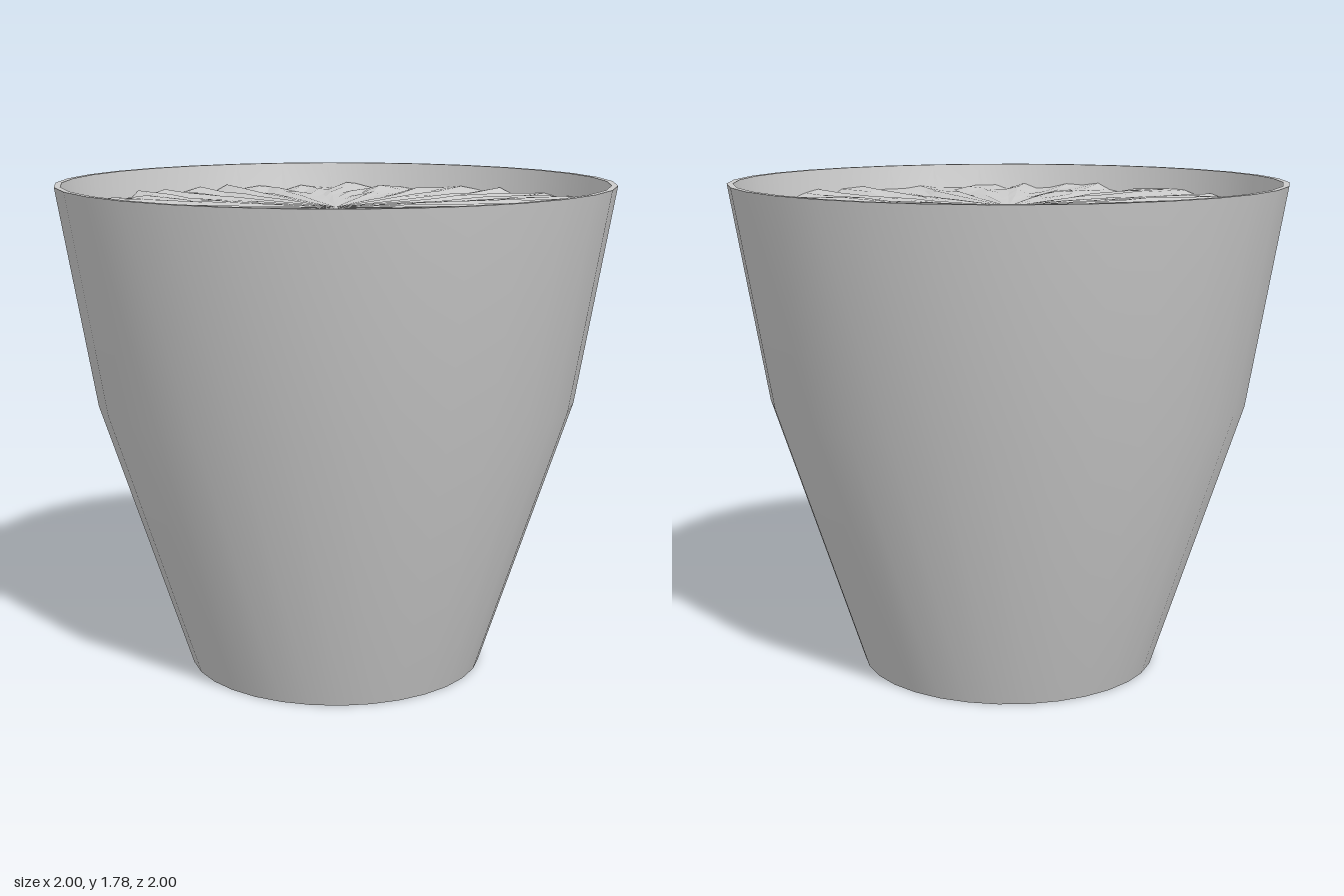
import * as THREE from 'three';
import { toCreasedNormals } from 'three/addons/utils/BufferGeometryUtils.js';

const SIDES = 32;

// Repeatable noise in -1..1
function noise(a, b) {
  const s = Math.sin(a * 127.1 + b * 311.7) * 43758.5453;
  return 2 * (s - Math.floor(s)) - 1;
}

// Hollow pot wall: outside from base to rim, then back down the inside
function createPot() {
  const profile = [
    [0, 0], [0.545, 0], [0.87, 1], [1, 1.78],
    [0.978, 1.78], [0.848, 1], [0.54, 0.04], [0, 0.04],
  ].map(([r, y]) => new THREE.Vector2(r, y));
  const geometry = toCreasedNormals(new THREE.LatheGeometry(profile, SIDES), Math.PI / 6);
  return new THREE.Mesh(geometry, new THREE.MeshStandardMaterial({ color: 0xcccccc }));
}

// Faceted earth: flat at the centre, crumpled towards the wall
function createSoil() {
  const segments = 96, rings = 6, radius = 0.955, level = 1.69;
  const geometry = new THREE.RingGeometry(0, radius, segments, rings);
  geometry.rotateX(-Math.PI / 2);
  const pos = geometry.attributes.position;
  for (let k = 0; k < pos.count; k++) {
    const ring = Math.floor(k / (segments + 1));
    const i = (k % (segments + 1)) % segments;
    const t = ring / rings;
    const angle = (i / segments) * Math.PI * 2 + 0.018 * t * noise(i + 5, ring + 9);
    const r = radius * (t + (ring > 0 && ring < rings ? 0.05 * noise(i, ring + 20) : 0));
    const bump = t * (0.009 * noise(i, 1) + 0.012 * t * noise(i, ring + 2));
    pos.setXYZ(k, r * Math.cos(angle) + 0.01 * t, level + bump, -r * Math.sin(angle) + 0.008 * t);
  }
  geometry.computeVertexNormals();
  return new THREE.Mesh(geometry, new THREE.MeshStandardMaterial({
    color: 0xcccccc, flatShading: true, side: THREE.DoubleSide,
  }));
}

export function createModel() {
  const model = new THREE.Group();
  model.name = 'plantPot';
  const pot = createPot();
  pot.name = 'pot';
  const soil = createSoil();
  soil.name = 'soil';
  model.add(pot, soil);
  return model;
}
